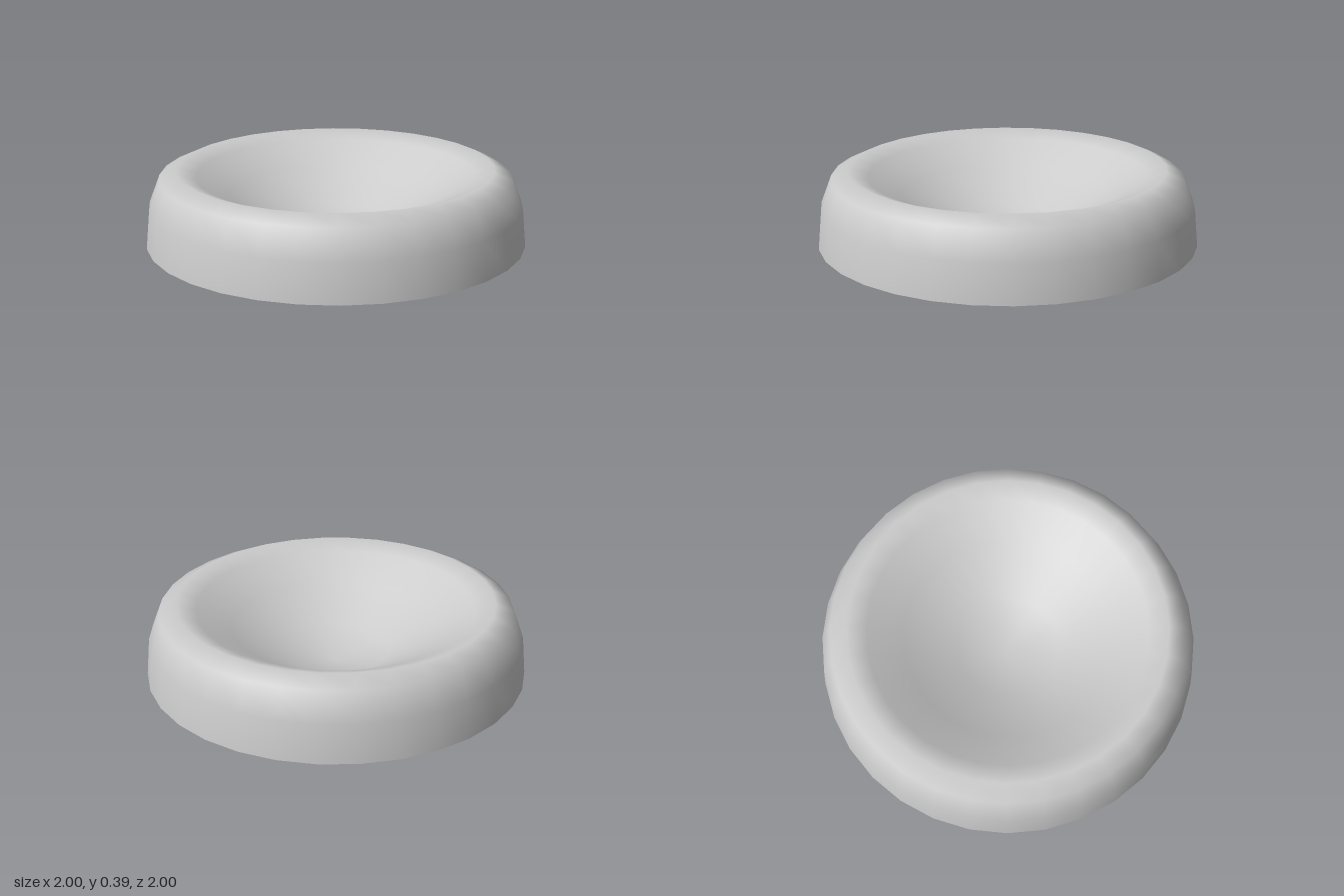
import * as THREE from 'three';

export function createModel() {
  const group = new THREE.Group();
  group.name = 'dishedCap';

  // Profile: open skirt, rounded shoulder, then the deep, nearly conical dish to the axis
  const profile = [
    [1, 0], [0.98, 0.2], [0.923, 0.347], [0.83, 0.39],
    [0.73, 0.35], [0.55, 0.243], [0.28, 0.09], [0, 0.025],
  ].map(([r, y]) => new THREE.Vector2(r, y));
  const geometry = new THREE.LatheGeometry(profile, 32);

  // Smooth the centre of the dish: normals on the axis point straight up
  const { position, normal } = geometry.attributes;
  for (let i = 0; i < position.count; i++) {
    if (Math.hypot(position.getX(i), position.getZ(i)) < 1e-4) normal.setXYZ(i, 0, 1, 0);
  }

  const material = new THREE.MeshStandardMaterial({ color: 0xcccccc, side: THREE.DoubleSide });
  const shell = new THREE.Mesh(geometry, material);
  shell.name = 'shell';
  group.add(shell);
  return group;
}
